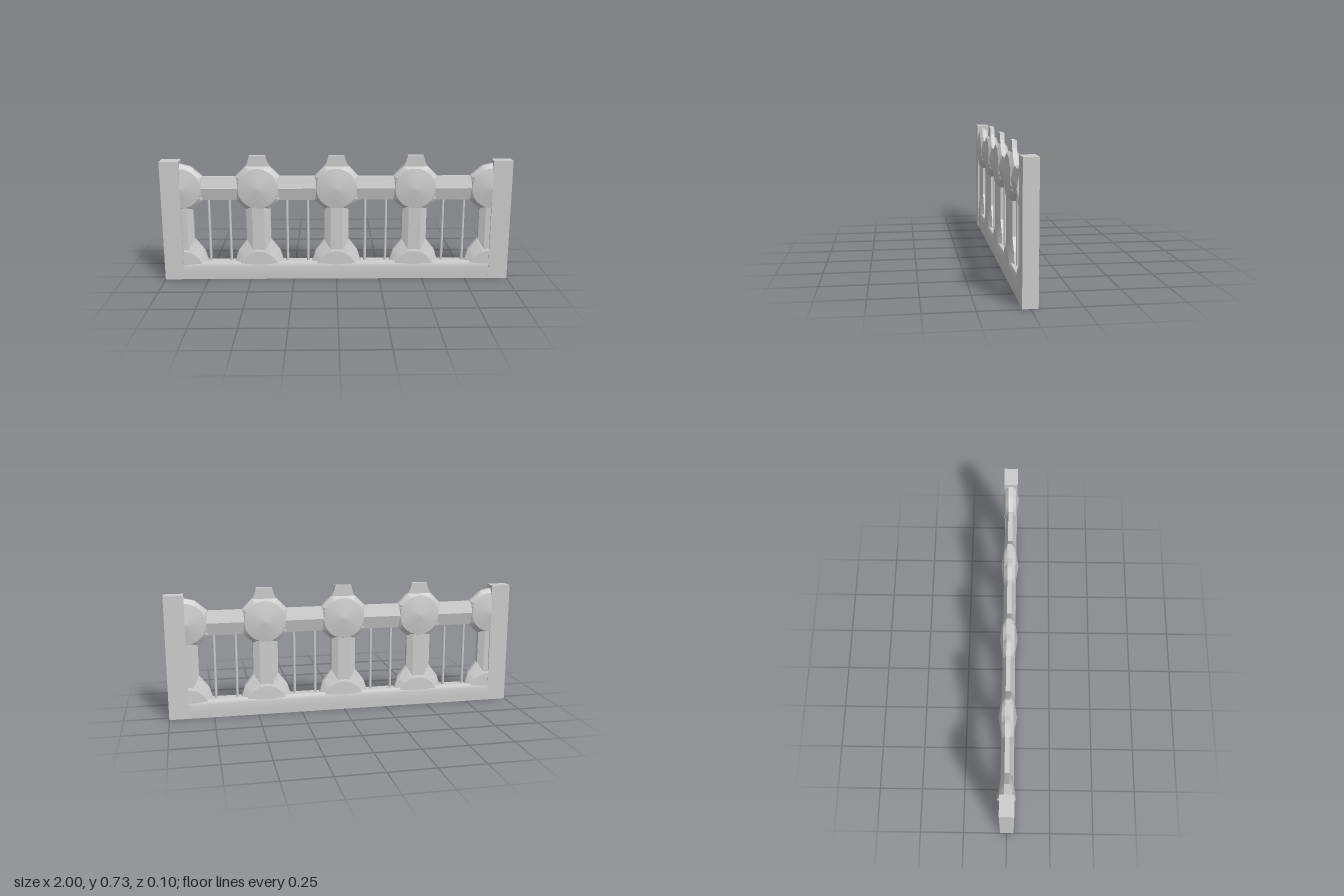
import * as THREE from 'three';
import { toCreasedNormals } from 'three/addons/utils/BufferGeometryUtils.js';

const END = 0.89;      // inner face of the end posts
const EDGE = 0.0125;   // half thickness at the thin outer edges
const RAIL_Y = 0.54;   // centre line of the upper rail

const material = new THREE.MeshStandardMaterial({ color: 0xcccccc, side: THREE.DoubleSide });

function add(group, name, geometry, x = 0, y = 0, z = 0) {
  const mesh = new THREE.Mesh(geometry, material);
  mesh.name = name;
  mesh.position.set(x, y, z);
  group.add(mesh);
  return mesh;
}

// Extrudes a closed polygon, centred on its depth
function prism(points, depth) {
  const shape = new THREE.Shape(points.map(([a, b]) => new THREE.Vector2(a, b)));
  const geometry = new THREE.ExtrudeGeometry(shape, { depth, bevelEnabled: false });
  return geometry.translate(0, 0, -depth / 2);
}

// Splits every edge of an outline so that the disc inside it stays round
function subdivide(points, closed, n = 5) {
  const out = [];
  const edges = closed ? points.length : points.length - 1;
  for (let i = 0; i < edges; i++) {
    const a = points[i], b = points[(i + 1) % points.length];
    for (let k = 0; k < n; k++) {
      const t = k / n;
      out.push([a[0] + (b[0] - a[0]) * t, a[1] + (b[1] - a[1]) * t]);
    }
  }
  if (!closed) out.push(points[points.length - 1]);
  return out;
}

// Two-sided boss: shallow conical disc, sloping flange and thin edge.
// The outline runs counter-clockwise around the origin.
function bossGeometry(outline, closed, radius, peakZ, rimZ) {
  const pts = subdivide(outline, closed);
  const positions = [];
  const tri = (...corners) => corners.forEach((c) => positions.push(...c));
  const quad = (a, b, c, d) => { tri(a, b, c); tri(a, c, d); };
  const ray = ([x, y], s) => {
    const k = radius / Math.hypot(x, y);
    return [[0, 0, s * peakZ], [x * k, y * k, s * rimZ], [x, y, s * EDGE]];
  };
  const count = closed ? pts.length : pts.length - 1;
  for (let i = 0; i < count; i++) {
    const p = pts[i], q = pts[(i + 1) % pts.length];
    for (const s of [1, -1]) {
      const [a, b] = s > 0 ? [ray(p, s), ray(q, s)] : [ray(q, s), ray(p, s)];
      tri(a[0], a[1], b[1]);
      quad(a[1], a[2], b[2], b[1]);
    }
    quad(ray(p, -1)[2], ray(q, -1)[2], ray(q, 1)[2], ray(p, 1)[2]);
  }
  // Cut faces of a half boss
  if (!closed) {
    const cut = (p, flip) => {
      const f = ray(p, 1), b = ray(p, -1);
      for (let k = 0; k < 2; k++) {
        if (flip) quad(f[k], f[k + 1], b[k + 1], b[k]);
        else quad(f[k], b[k], b[k + 1], f[k + 1]);
      }
    };
    cut(pts[0], false);
    cut(pts[pts.length - 1], true);
  }
  const geometry = new THREE.BufferGeometry();
  geometry.setAttribute('position', new THREE.Float32BufferAttribute(positions, 3));
  return toCreasedNormals(geometry, 0.2);
}

const mirrorX = (points) => points.map(([x, y]) => [-x, y]).reverse();

export function createModel() {
  const model = new THREE.Group();
  model.name = 'balustrade';

  // End posts
  for (const side of [-1, 1]) {
    add(model, side > 0 ? 'leftPost' : 'rightPost',
      new THREE.BoxGeometry(0.11, 0.7, 0.077), side * 0.945, 0.35, 0.0015);
  }

  // Base rail with rounded upper shoulders
  const shoulder = new THREE.SplineCurve([
    [0.038, 0], [0.0392, 0.05], [0.0365, 0.085], [0.029, 0.105],
  ].map(([a, b]) => new THREE.Vector2(a, b))).getPoints(12).map((p) => [p.x, p.y]);
  const base = toCreasedNormals(prism([...shoulder, ...mirrorX(shoulder)], 2 * END), 0.6);
  add(model, 'baseRail', base.rotateY(Math.PI / 2));

  // Upper rail, ridged front and back
  const railHalf = [[EDGE, -0.07], [0.03, 0], [EDGE, 0.067]];
  add(model, 'upperRail',
    prism([...railHalf, ...mirrorX(railHalf)], 2 * END).rotateY(Math.PI / 2), 0, RAIL_Y);

  // Bevelled columns
  const columnHalf = [[0.07, -EDGE], [0.07, EDGE], [0.035, 0.03]];
  const columnSection = [...columnHalf, ...mirrorX(columnHalf),
    [-0.035, -0.03], [0.035, -0.03]];
  const column = prism(columnSection, 0.42).rotateX(Math.PI / 2);

  // Bosses where the columns meet the rails
  const rightSide = [[0.065, -0.125], [0.125, -0.07], [0.125, 0.068], [0.07, 0.125]];
  const upperBoss = bossGeometry([...rightSide, ...mirrorX(rightSide)], true, 0.115, 0.05, 0.031);
  const endHalf = [[0, -0.13], [0.065, -0.125], [0.125, -0.07],
    [0.125, 0.068], [0.06, 0.125], [0, 0.14]];
  const footHalf = [[0.14, 0], [0.14, 0.055], [0.122, 0.115], [0.07, 0.183]];
  const footBoss = bossGeometry([...footHalf, ...mirrorX(footHalf)], false, 0.115, 0.037, 0.034);
  const footEnd = [...footHalf, [0, 0.183]];
  const crest = prism([[-0.07, 0.1], [0.07, 0.1], [0.07, 0.12], [0.056, 0.148],
    [0.045, 0.187], [-0.045, 0.187], [-0.056, 0.148], [-0.07, 0.12]], 2 * EDGE);

  for (const x of [-0.45, 0, 0.45]) {
    add(model, 'column', column, x, 0.29);
    add(model, 'upperBoss', upperBoss, x, RAIL_Y);
    add(model, 'crest', crest, x, RAIL_Y);
    add(model, 'footBoss', footBoss, x, 0.05);
  }

  // Half bosses and columns against the posts
  for (const side of [-1, 1]) {
    const turn = (points) => (side < 0 ? points : mirrorX(points));
    add(model, 'endColumn', column, side * 0.895, 0.29);
    add(model, 'endUpperBoss',
      bossGeometry(turn(endHalf), false, 0.115, 0.05, 0.031), side * END, RAIL_Y);
    add(model, 'endFootBoss',
      bossGeometry(turn(footEnd), false, 0.115, 0.037, 0.034), side * END, 0.05);
  }

  // Thin balusters, two per bay
  const baluster = new THREE.CylinderGeometry(0.008, 0.008, 0.4, 12);
  for (const bay of [-0.675, -0.225, 0.225, 0.675]) {
    for (const offset of [-0.06, 0.06]) add(model, 'baluster', baluster, bay + offset, 0.29);
  }

  return model;
}
